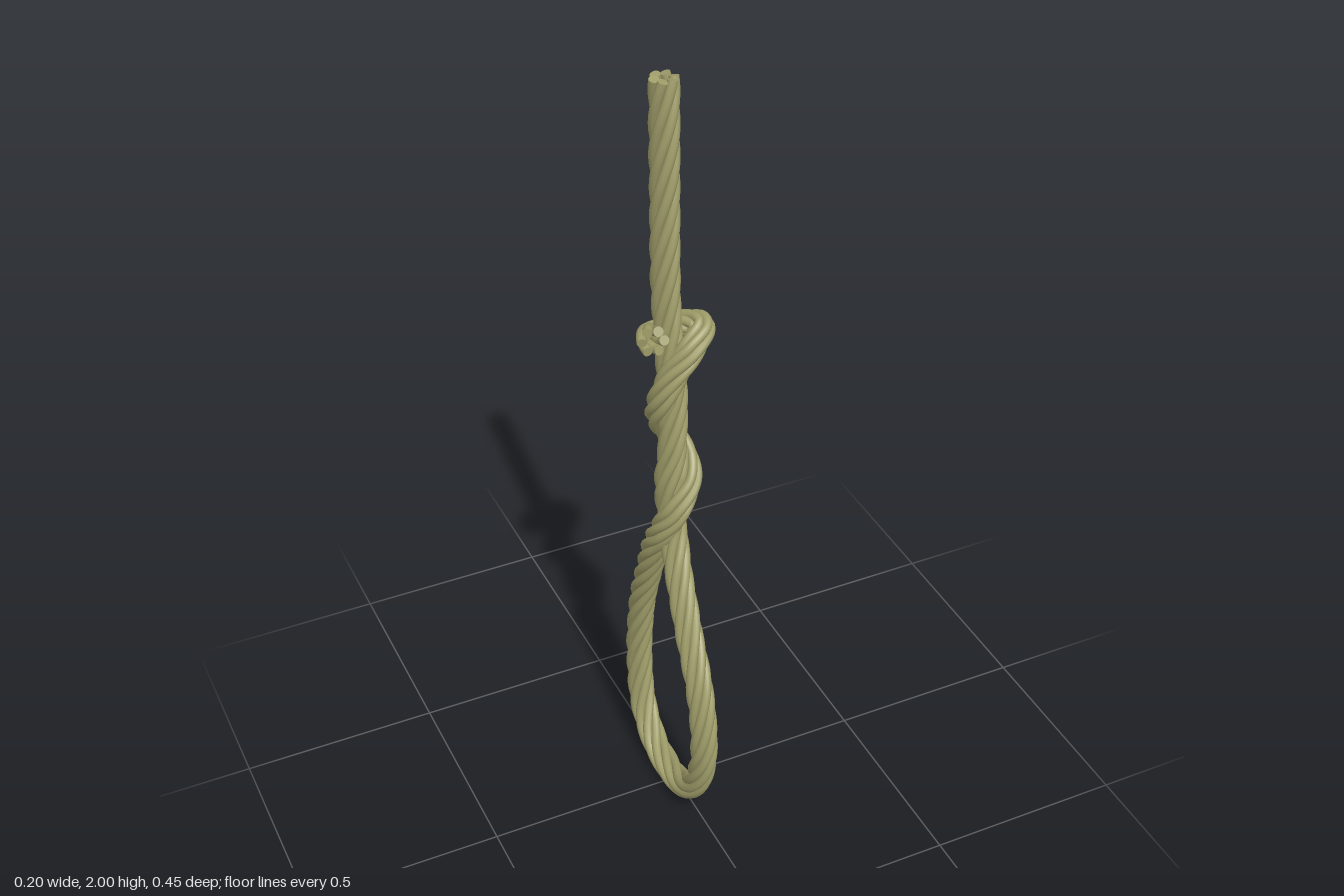
import * as THREE from 'three';

const STRANDS = 6;
const STRAND_RADIUS = 0.0118;
const LAY_RADIUS = 0.0225; // distance of each strand from the rope's centre line
const PITCH = 0.45; // rope length per full twist
const SAMPLES = 400;

// Centre line: down the standing part, around the loop, up the wrapped tail
const PATH = [
  [-0.015, 2, -0.03], [-0.015, 1.75, -0.028], [-0.015, 1.5, -0.025], [-0.012, 1.38, -0.02],
  [-0.008, 1.28, -0.012], [-0.005, 1.2, -0.005], [-0.012, 1.08, 0.003], [-0.02, 0.98, 0],
  [-0.015, 0.9, -0.004], [-0.008, 0.82, 0.005],
  [-0.012, 0.74, 0.036], [-0.015, 0.6, 0.1], [-0.015, 0.45, 0.168], [-0.015, 0.28, 0.194],
  [-0.015, 0.14, 0.158], [-0.015, 0.06, 0.085], [-0.015, 0.037, 0], [-0.015, 0.056, -0.1],
  [-0.015, 0.13, -0.168], [-0.015, 0.28, -0.192], [-0.018, 0.48, -0.165], [-0.025, 0.65, -0.1],
  [-0.033, 0.77, -0.042], [-0.034, 0.84, 0], [-0.014, 0.91, 0.028], [0.024, 0.98, 0.012],
  [0.026, 1.03, -0.018], [0, 1.09, -0.04], [-0.032, 1.16, -0.022], [-0.038, 1.22, 0.004],
  [-0.018, 1.29, 0.022], [0.026, 1.355, 0.028], [0.061, 1.39, 0.004], [0.042, 1.385, -0.032],
  [-0.01, 1.365, -0.053], [-0.05, 1.375, -0.032], [-0.066, 1.394, 0], [-0.072, 1.402, 0.034],
].map((p) => new THREE.Vector3(...p));

export function createModel() {
  const model = new THREE.Group();
  const rope = new THREE.Group();
  rope.name = 'rope';
  model.add(rope);
  const material = new THREE.MeshStandardMaterial({ color: 0x9f9d69 });

  const centre = new THREE.CatmullRomCurve3(PATH, false, 'centripetal');
  centre.arcLengthDivisions = 1500;
  const length = centre.getLength();
  const points = centre.getSpacedPoints(SAMPLES);
  const frames = centre.computeFrenetFrames(SAMPLES);

  // The tail is squeezed where it wraps tightly and flares at its cut end
  const spread = (u) => {
    const left = (1 - u) * length;
    return 1 - 0.22 * (1 - THREE.MathUtils.smoothstep(left, 0.1, 0.45))
      + 0.35 * (1 - THREE.MathUtils.smoothstep(left, 0, 0.05));
  };

  // Flat end on a strand, facing along the given direction
  const addCap = (position, direction, name) => {
    const cap = new THREE.Mesh(new THREE.CircleGeometry(STRAND_RADIUS, 10), material);
    cap.name = name;
    cap.position.copy(position);
    cap.quaternion.setFromUnitVectors(new THREE.Vector3(0, 0, 1), direction);
    rope.add(cap);
  };

  // Strands laid in a right-handed helix about the centre line
  for (let k = 0; k < STRANDS; k++) {
    const strandPoints = points.map((p, i) => {
      const u = i / SAMPLES;
      const angle = (k / STRANDS + (u * length) / PITCH) * Math.PI * 2;
      const r = LAY_RADIUS * spread(u);
      return p.clone()
        .addScaledVector(frames.normals[i], Math.cos(angle) * r)
        .addScaledVector(frames.binormals[i], Math.sin(angle) * r);
    });
    const curve = new THREE.CatmullRomCurve3(strandPoints);
    curve.arcLengthDivisions = 1600;
    const strand = new THREE.Mesh(new THREE.TubeGeometry(curve, 480, STRAND_RADIUS, 10), material);
    strand.name = `strand${k + 1}`;
    rope.add(strand);
    addCap(curve.getPoint(0), curve.getTangent(0).negate(), 'topStrandEnd');
    addCap(curve.getPoint(1), curve.getTangent(1), 'tailStrandEnd');
  }

  return model;
}
